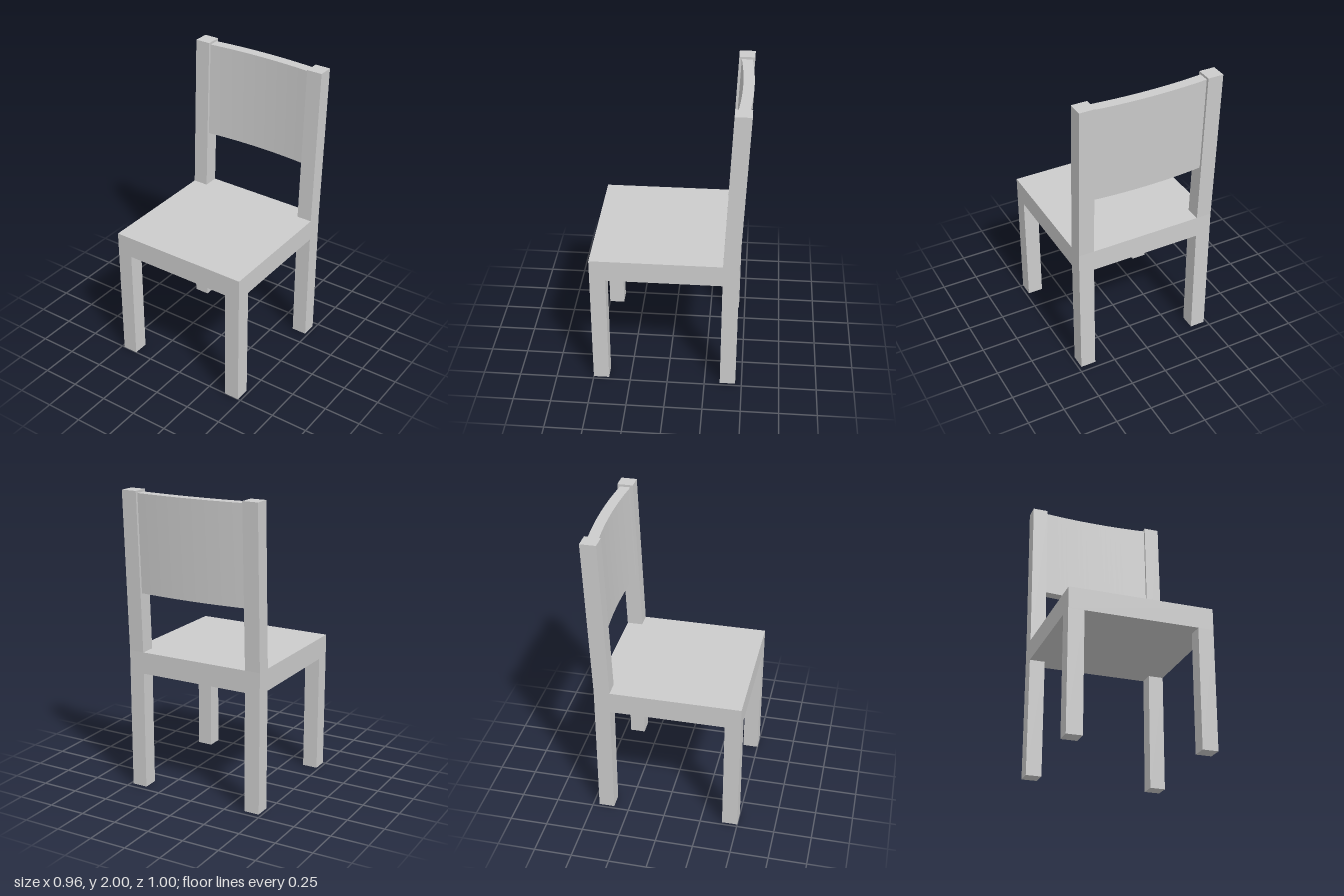
import * as THREE from 'three';
import { toCreasedNormals } from 'three/addons/utils/BufferGeometryUtils.js';

const SEAT_BOTTOM = 0.8, SEAT_TOP = 0.945, HEIGHT = 2;
const HALF_WIDTH = 0.48, FRONT = 0.5, BACK = -0.458, POST = 0.104;
const LEAN = 0.04; // backward slope of the backrest

const material = new THREE.MeshStandardMaterial({ color: 0xcccccc });

function add(group, name, geometry) {
  const mesh = new THREE.Mesh(geometry, material);
  mesh.name = name;
  group.add(mesh);
}

// Box given by its lower and upper limits
function box(x0, x1, y0, y1, z0, z1) {
  return new THREE.BoxGeometry(x1 - x0, y1 - y0, z1 - z0)
    .translate((x0 + x1) / 2, (y0 + y1) / 2, (z0 + z1) / 2);
}

// Shear backwards above the seat, keeping horizontal cuts level
function lean(geometry) {
  const p = geometry.attributes.position;
  for (let i = 0; i < p.count; i++) {
    p.setZ(i, p.getZ(i) - LEAN * (p.getY(i) - SEAT_TOP));
  }
  return toCreasedNormals(geometry, 0.5);
}

// Curved panel: bowed plan outline extruded upwards
function panelGeometry() {
  const half = HALF_WIDTH - POST, bottom = 1.34, top = 1.985, steps = 20;
  const bow = x => 0.02 * (1 - (x / half) ** 2);
  const points = [];
  for (let i = 0; i <= steps; i++) {
    const x = -half + (2 * half * i) / steps;
    points.push(new THREE.Vector2(x, 0.371 + bow(x)));
  }
  for (let i = steps; i >= 0; i--) {
    const x = -half + (2 * half * i) / steps;
    points.push(new THREE.Vector2(x, 0.441 + bow(x)));
  }
  const geometry = new THREE.ExtrudeGeometry(new THREE.Shape(points), {
    depth: top - bottom, bevelEnabled: false,
  });
  geometry.rotateX(-Math.PI / 2).translate(0, bottom, 0);
  return lean(geometry);
}

export function createModel() {
  const chair = new THREE.Group();
  chair.name = 'chair';

  add(chair, 'seat', box(-HALF_WIDTH, HALF_WIDTH, SEAT_BOTTOM, SEAT_TOP, BACK, FRONT));

  // Legs and leaning back posts on each side
  for (const [side, x0] of [['left', HALF_WIDTH - POST], ['right', -HALF_WIDTH]]) {
    const x1 = x0 + POST;
    add(chair, `${side} front leg`, box(x0, x1, 0, SEAT_BOTTOM, FRONT - POST, FRONT));
    add(chair, `${side} back leg`, box(x0, x1, 0, SEAT_BOTTOM, BACK, BACK + POST));
    add(chair, `${side} back post`, lean(box(x0, x1, SEAT_TOP, HEIGHT, BACK, BACK + POST)));
  }

  add(chair, 'backrest panel', panelGeometry());
  return chair;
}
